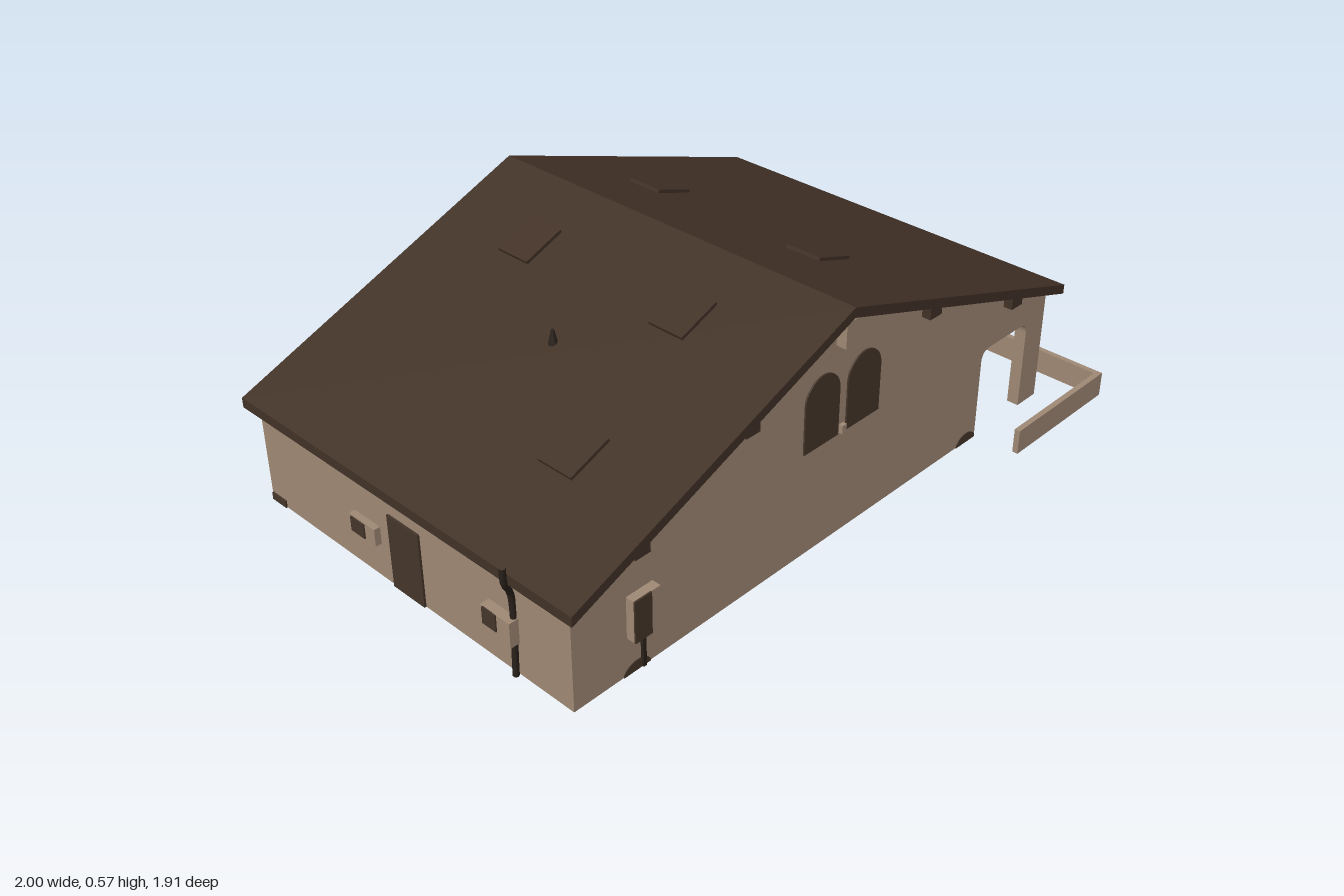
import * as THREE from 'three';

const mat = (name, color, side = THREE.FrontSide) => {
  const m = new THREE.MeshStandardMaterial({ color, side });
  m.name = name;
  return m;
};

export function createModel() {
  const plaster = mat('plaster', 0xa08a76);
  const roofBrown = mat('roofBrown', 0x423227);
  const darkWood = mat('darkWood', 0x45362a);
  const pipeDark = mat('pipeDark', 0x2a211b);

  const model = new THREE.Group();
  model.name = 'house';
  // House axes: x across the ridge (porch at +x), z along the ridge
  const house = new THREE.Group();
  house.name = 'turnedHouse';
  house.position.set(-0.06, 0, 0.055);
  house.rotation.y = 0.663;
  model.add(house);

  const add = (name, geo, material, x = 0, y = 0, z = 0) => {
    const m = new THREE.Mesh(geo, material);
    m.name = name;
    m.position.set(x, y, z);
    house.add(m);
    return m;
  };
  const box = (name, material, w, h, d, x, y, z) =>
    add(name, new THREE.BoxGeometry(w, h, d), material, x, y, z);
  const extrude = (shape, depth) =>
    new THREE.ExtrudeGeometry(shape, { depth, bevelEnabled: false, curveSegments: 10 });

  const RIDGE = -0.01;
  const roofTop = (x) => x < RIDGE ? 0.572 - (RIDGE - x) * 0.402 : 0.572 - (x - RIDGE) * 0.335;

  // Wall outline with round-cornered openings standing on the ground
  const wallShape = (x0, x1, openings, top) => {
    const s = new THREE.Shape();
    const h = 0.23, r = 0.03;
    s.moveTo(x0, 0);
    for (const [a, b] of openings) {
      s.lineTo(a, 0);
      s.lineTo(a, h - r);
      s.quadraticCurveTo(a, h, a + r, h);
      s.lineTo(b - r, h);
      s.quadraticCurveTo(b, h, b, h - r);
      s.lineTo(b, 0);
    }
    s.lineTo(x1, 0);
    for (const [x, y] of top) s.lineTo(x, y);
    return s;
  };

  // Roof: one folded slab
  const r = new THREE.Shape();
  const thick = 0.024, L = -0.787, R = 0.787;
  r.moveTo(L, roofTop(L));
  r.lineTo(L, roofTop(L) - thick);
  r.lineTo(RIDGE, 0.572 - thick);
  r.lineTo(R, roofTop(R) - thick);
  r.lineTo(R, roofTop(R));
  r.lineTo(RIDGE, 0.572);
  add('roof', extrude(r, 1.04), roofBrown, 0, 0, -0.52);

  // Gable walls with the porch side arch
  const under = (x) => roofTop(x) - 0.018;
  const gable = wallShape(-0.765, 0.76, [[0.51, 0.69]],
    [[0.76, under(0.76)], [RIDGE, under(RIDGE)], [-0.765, under(-0.765)]]);
  add('frontGable', extrude(gable, 0.03), plaster, 0, 0, 0.46);
  add('backGable', extrude(gable, 0.03), plaster, 0, 0, -0.49);

  // Long walls
  box('leftWall', plaster, 0.02, under(-0.765), 0.97, -0.755, under(-0.765) / 2, 0);
  box('porchWall', plaster, 0.02, 0.38, 0.97, 0.5, 0.19, 0);
  const arcade = wallShape(-0.489, 0.489, [[-0.45, -0.03], [0.03, 0.45]],
    [[0.489, 0.3], [-0.489, 0.3]]);
  const arcadeGeo = extrude(arcade, 0.04);
  arcadeGeo.rotateY(Math.PI / 2);
  add('porchArcade', arcadeGeo, plaster, 0.719, 0, 0);

  // Doors
  for (const z of [0.135, -0.095]) box('porchDoor', darkWood, 0.006, 0.185, 0.1, 0.512, 0.0925, z);
  box('leftDoor', darkWood, 0.006, 0.182, 0.1, -0.767, 0.091, 0);

  // Paired arched windows, ridge beam ends and base vents on both gables
  const arch = new THREE.Shape();
  arch.moveTo(-0.054, 0.26);
  arch.lineTo(0.054, 0.26);
  arch.lineTo(0.054, 0.375);
  arch.absarc(0, 0.375, 0.054, 0, Math.PI, false);
  arch.lineTo(-0.054, 0.26);
  const archGeo = extrude(arch, 0.006);
  const vent = new THREE.Shape();
  vent.absellipse(0, 0, 0.036, 0.024, 0, Math.PI, false);
  const ventGeo = extrude(vent, 0.004);
  for (const s of [1, -1]) {
    const z = s > 0 ? 0.488 : -0.494;
    for (const x of [-0.067, 0.067]) add('archedWindow', archGeo, darkWood, x, 0, z);
    for (const x of [-0.6, 0.473]) add('baseVent', ventGeo, darkWood, x, 0, s > 0 ? 0.488 : -0.492);
    box('windowPost', plaster, 0.014, 0.02, 0.014, 0, 0.27, s * 0.493);
    box('ridgeBeam', plaster, 0.036, 0.06, 0.03, RIDGE, 0.51, s * 0.5);
    for (const x of [-0.6, -0.3, 0.28, 0.6])
      box('purlinEnd', roofBrown, 0.04, 0.03, 0.025, x, roofTop(x) - 0.034, s * 0.5);
  }
  box('cornerVent', darkWood, 0.006, 0.018, 0.05, -0.766, 0.009, -0.462);

  // Meter boxes and conduits
  box('gableMeter', plaster, 0.07, 0.1, 0.024, -0.59, 0.142, 0.5);
  box('gableMeterPanel', darkWood, 0.045, 0.1, 0.004, -0.603, 0.143, 0.513);
  box('gableConduit', pipeDark, 0.008, 0.09, 0.008, -0.585, 0.048, 0.494);
  box('wallMeter', plaster, 0.024, 0.06, 0.085, -0.776, 0.11, 0.3);
  box('wallMeterPanel', darkWood, 0.004, 0.04, 0.04, -0.789, 0.12, 0.285);
  box('wallPanel', plaster, 0.016, 0.042, 0.085, -0.772, 0.11, -0.127);
  box('wallPanelFace', darkWood, 0.004, 0.036, 0.045, -0.781, 0.11, -0.14);
  const path = new THREE.CatmullRomCurve3([[-0.773, 0, 0.335], [-0.773, 0.2, 0.335],
    [-0.793, 0.24, 0.342], [-0.796, 0.28, 0.345]].map((p) => new THREE.Vector3(...p)));
  add('wallConduit', new THREE.TubeGeometry(path, 16, 0.007, 6), pipeDark);

  // Skylights laid on the slopes
  for (const [x, z] of [[0.234, -0.267], [0.234, 0.22], [-0.18, -0.258], [-0.18, 0.21], [-0.53, 0.255]]) {
    const m = box('skylight', roofBrown, 0.11, 0.016, 0.095, x, roofTop(x), z);
    m.rotation.z = x < RIDGE ? Math.atan(0.402) : -Math.atan(0.335);
  }
  add('roofVent', new THREE.CylinderGeometry(0.003, 0.011, 0.036, 8), pipeDark, -0.359, roofTop(-0.359) + 0.014, 0.01);

  // Low garden wall with its middle pillar
  box('gardenWall', plaster, 0.014, 0.062, 1.21, 0.86, 0.031, 0);
  for (const s of [1, -1]) box('gardenWallReturn', plaster, 0.35, 0.062, 0.014, 0.692, 0.031, s * 0.6);
  box('gardenPillar', plaster, 0.036, 0.09, 0.036, 0.855, 0.045, 0);
  box('pillarCap', plaster, 0.05, 0.022, 0.05, 0.855, 0.094, 0);

  return model;
}
